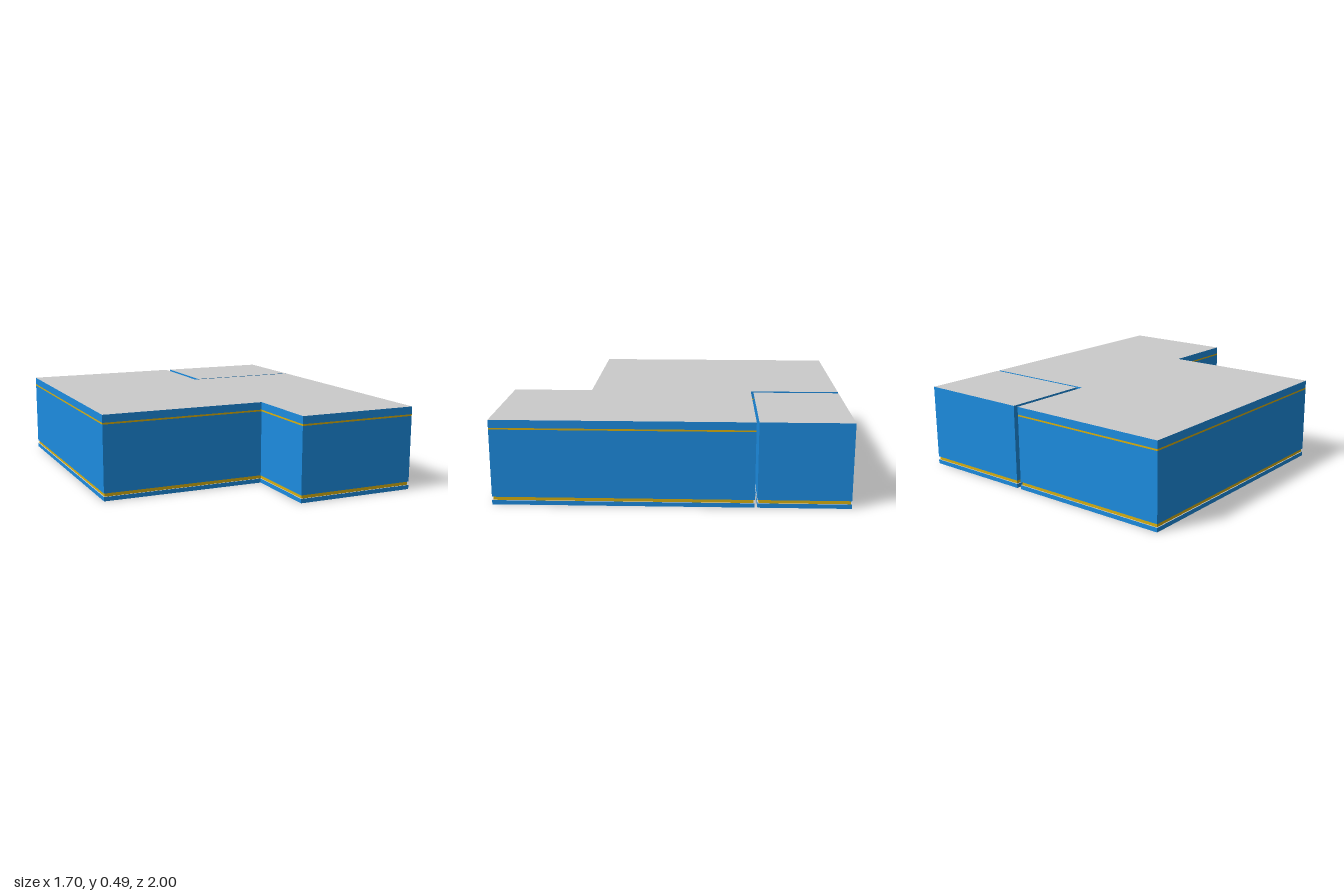
import * as THREE from 'three';

const grey = new THREE.MeshStandardMaterial({ color: 0xcccccc });
const blue = new THREE.MeshStandardMaterial({ color: 0x1c8ce0 });
const yellow = new THREE.MeshStandardMaterial({ color: 0xd8b010 });

// Footprints as [x, z], counter-clockwise seen from above
const MAIN = [[-0.85, 0.52], [0.13, 0.52], [0.13, 1], [0.85, 1],
  [0.85, -0.465], [0.13, -0.465], [0.13, -1], [-0.85, -1]];
const ANNEX = [[0.16, -0.48], [0.85, -0.48], [0.85, -1], [0.16, -1]];

// Moves every right-angled edge of a footprint inwards by d
function inset(points, d) {
  const n = points.length;
  const inward = (a, b) => {
    const dx = b[0] - a[0], dz = b[1] - a[1], len = Math.hypot(dx, dz);
    return [dz / len * d, -dx / len * d];
  };
  return points.map((p, i) => {
    const u = inward(points[(i + n - 1) % n], p);
    const v = inward(p, points[(i + 1) % n]);
    return [p[0] + u[0] + v[0], p[1] + u[1] + v[1]];
  });
}

// One horizontal slab of a footprint between two heights
function layer(name, points, y0, y1, capMaterial, sideMaterial) {
  const shape = new THREE.Shape(points.map(([x, z]) => new THREE.Vector2(x, -z)));
  const geometry = new THREE.ExtrudeGeometry(shape, { depth: y1 - y0, bevelEnabled: false });
  geometry.rotateX(-Math.PI / 2);
  geometry.translate(0, y0, 0);
  const mesh = new THREE.Mesh(geometry, [capMaterial, sideMaterial]);
  mesh.name = name;
  return mesh;
}

// Plinth, recessed yellow band and walls, with an optional flush upper band
function block(name, points, hasUpperBand) {
  const group = new THREE.Group();
  group.name = name;
  group.add(layer('plinth', points, 0, 0.025, grey, blue));
  group.add(layer('lowerBand', inset(points, 0.006), 0.025, 0.045, yellow, yellow));
  if (hasUpperBand) {
    group.add(layer('walls', points, 0.045, 0.435, blue, blue));
    group.add(layer('upperBand', points, 0.435, 0.445, yellow, yellow));
    group.add(layer('roof', points, 0.445, 0.49, grey, blue));
  } else {
    group.add(layer('walls', points, 0.045, 0.49, grey, blue));
  }
  return group;
}

export function createModel() {
  const model = new THREE.Group();
  model.name = 'building';
  model.add(block('mainBuilding', MAIN, true));
  model.add(block('annex', ANNEX, false));

  // Low link across the gap, grey underneath
  const link = new THREE.Mesh(new THREE.BoxGeometry(0.03, 0.025, 0.18),
    [blue, blue, blue, grey, blue, blue]);
  link.position.set(0.145, 0.0125, -0.73);
  link.name = 'link';
  model.add(link);
  return model;
}
